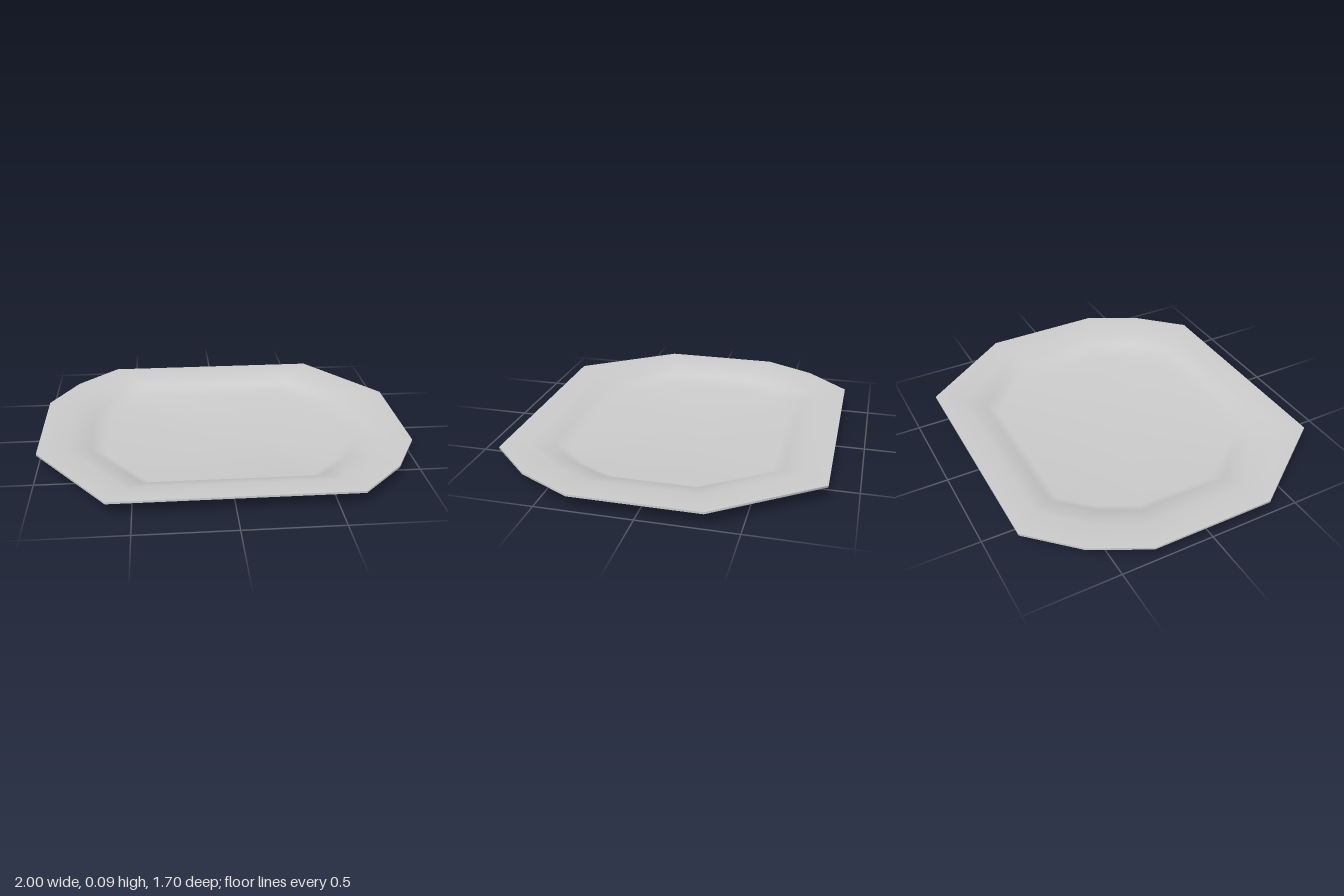
import * as THREE from 'three';

// Outline of the tray (x, z): two plain corners and two corners with an extra facet
const half = [[-0.62, -0.85], [0.62, -0.85], [1, -0.33], [1, 0.33], [0.85, 0.615]];
const outline = [...half, ...half.map(([x, z]) => [-x, -z])];

// Skin running through scaled copies of the outline; rings are [scale, height]
function skin(name, rings, material) {
  const n = outline.length;
  const positions = [];
  const indices = [];
  for (const [s, y] of rings) {
    for (const [x, z] of outline) positions.push(x * s, y, z * s);
  }
  for (let r = 0; r < rings.length - 1; r++) {
    for (let i = 0; i < n; i++) {
      const j = (i + 1) % n;
      const a = r * n + i, b = r * n + j, c = b + n, d = a + n;
      if (rings[r][0] > 0) indices.push(a, b, c);
      if (rings[r + 1][0] > 0) indices.push(a, c, d);
    }
  }
  const geometry = new THREE.BufferGeometry();
  geometry.setAttribute('position', new THREE.Float32BufferAttribute(positions, 3));
  geometry.setIndex(indices);
  geometry.computeVertexNormals();
  const mesh = new THREE.Mesh(geometry, material);
  mesh.name = name;
  return mesh;
}

export function createModel() {
  const tray = new THREE.Group();
  tray.name = 'tray';
  const material = new THREE.MeshStandardMaterial({ color: 0xcccccc });

  // Floor, sloping wall and flat rim, seen from above
  tray.add(skin('trayTop', [[0, 0.011], [0.65, 0.011], [0.725, 0.055], [0.85, 0.09], [1, 0.09]], material));
  // Thin outer edge of the rim
  tray.add(skin('rimEdge', [[1, 0.09], [1, 0.079]], material));
  // Matching underside, from the rim in to the foot
  tray.add(skin('trayUnderside', [[1, 0.079], [0.85, 0.079], [0.73, 0.045], [0.64, 0], [0, 0]], material));
  return tray;
}
